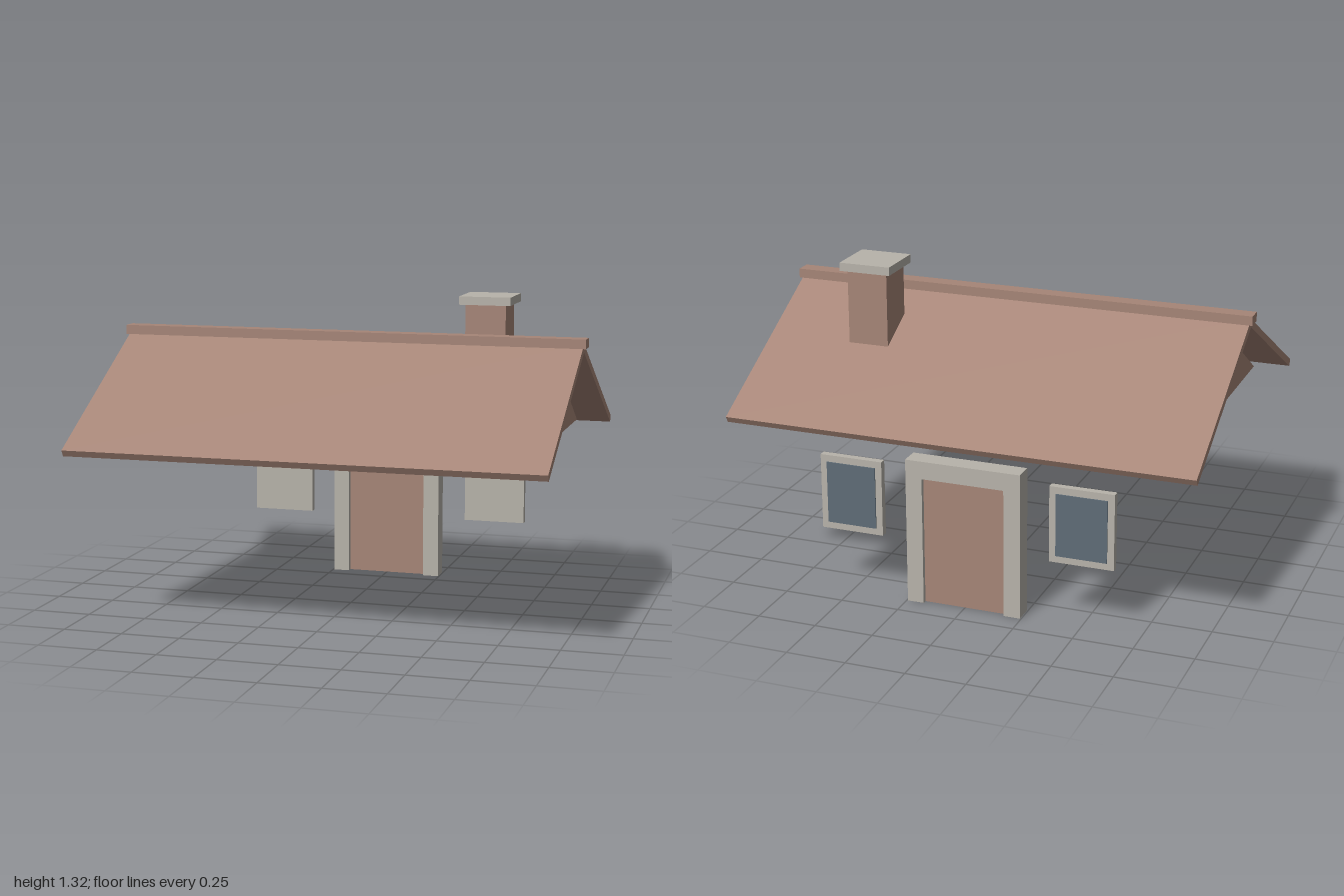
import * as THREE from 'three';

export function createModel() {
  const mat = (name, color) => {
    const m = new THREE.MeshStandardMaterial({ color });
    m.name = name;
    return m;
  };
  const brown = mat('clay brown', 0xa68577);
  const stone = mat('grey stone', 0xb7b3aa);
  const glass = mat('window glass', 0x5f6c77);

  const house = new THREE.Group();
  house.name = 'house';

  // Box given by its [min, max] range on each axis
  const box = (name, material, [x0, x1], [y0, y1], [z0, z1], parent = house) => {
    const mesh = new THREE.Mesh(new THREE.BoxGeometry(x1 - x0, y1 - y0, z1 - z0), material);
    mesh.position.set((x0 + x1) / 2, (y0 + y1) / 2, (z0 + z1) / 2);
    mesh.name = name;
    parent.add(mesh);
  };

  // Profile of [z, y] points extruded along x from x0 to x1
  const profile = (name, points, x0, x1) => {
    const shape = new THREE.Shape(points.map(([z, y]) => new THREE.Vector2(-z, y)));
    const geo = new THREE.ExtrudeGeometry(shape, { depth: x1 - x0, bevelEnabled: false });
    geo.rotateY(Math.PI / 2).translate(x0, 0, 0);
    const mesh = new THREE.Mesh(geo, brown);
    mesh.name = name;
    house.add(mesh);
  };

  // Two sloping roof slabs joined at the ridge
  profile('roof', [
    [0.763, 0.743], [0.748, 0.717], [0, 1.115],
    [-0.748, 0.717], [-0.763, 0.743], [0, 1.15],
  ], -0.987, 0.987);
  box('ridgeCap', brown, [-1, 1], [1.133, 1.172], [-0.035, 0.035]);

  // Triangular gable at each end
  for (const [name, x0] of [['leftGable', 0.815], ['rightGable', -0.86]]) {
    profile(name, [[0.615, 0.742], [0, 1.11], [-0.615, 0.742]], x0, x0 + 0.045);
  }

  // Chimney through the rear slope
  box('chimney', brown, [0.455, 0.628], [0.9, 1.282], [-0.334, -0.16]);
  box('chimneyCap', stone, [0.432, 0.652], [1.282, 1.317], [-0.357, -0.137]);

  // Rear doorway
  const doorway = new THREE.Group();
  doorway.name = 'doorway';
  house.add(doorway);
  const depth = [-0.656, -0.572];
  box('leftPost', stone, [0.175, 0.245], [0, 0.545], depth, doorway);
  box('rightPost', stone, [-0.245, -0.175], [0, 0.545], depth, doorway);
  box('lintel', stone, [-0.245, 0.245], [0.545, 0.62], depth, doorway);
  box('door', brown, [-0.175, 0.175], [0, 0.545], [-0.637, -0.597], doorway);

  // Windows on either side of the door, glazed towards the rear
  for (const [name, x] of [['leftWindow', 0.495], ['rightWindow', -0.495]]) {
    const win = new THREE.Group();
    win.name = name;
    house.add(win);
    box('windowFrame', stone, [x - 0.135, x + 0.135], [0.262, 0.584], [-0.635, -0.605], win);
    box('windowPane', glass, [x - 0.107, x + 0.107], [0.291, 0.555], [-0.64, -0.634], win);
  }
  return house;
}
